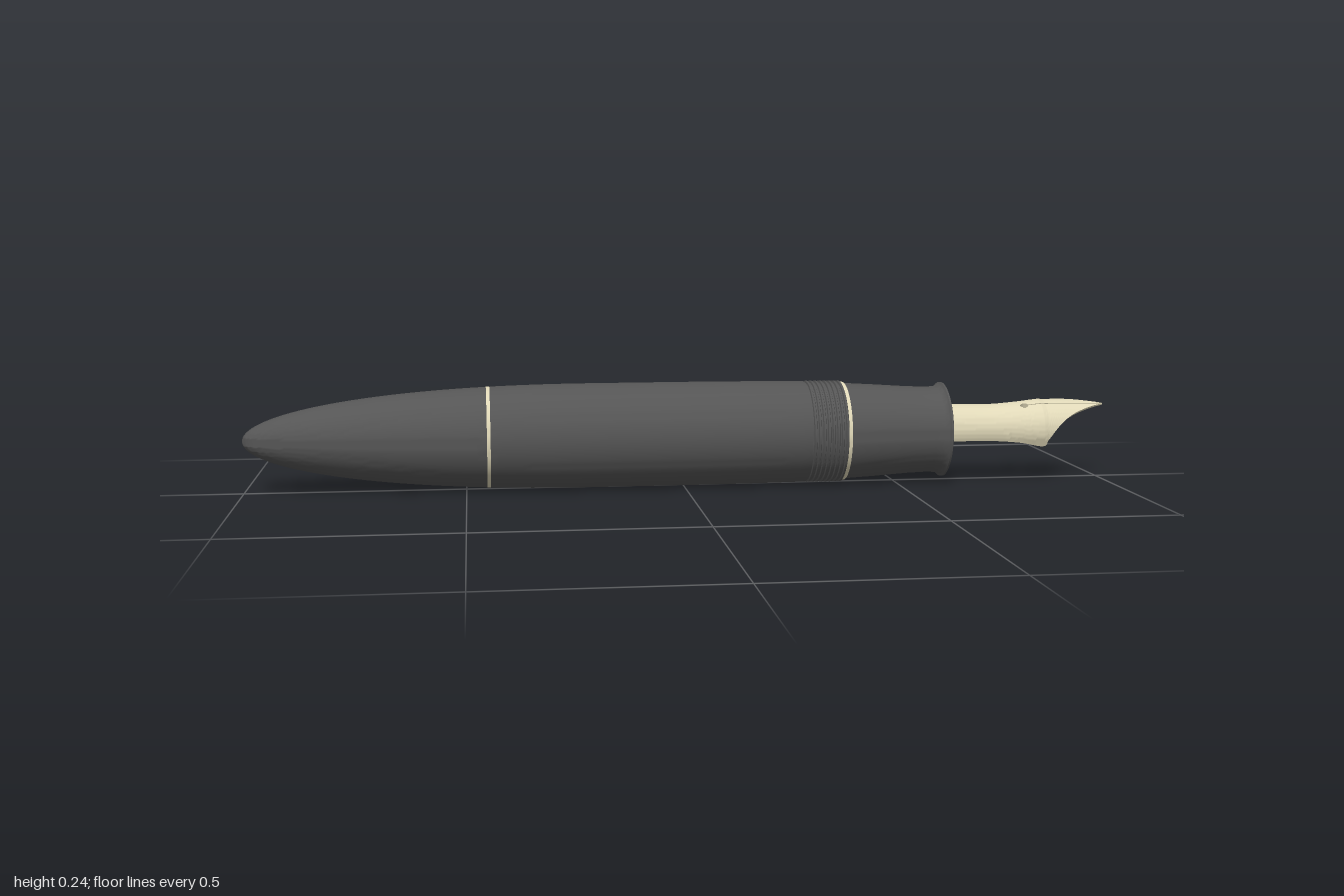
import * as THREE from 'three';
import { toCreasedNormals } from 'three/addons/utils/BufferGeometryUtils.js';

const AXIS_Y = 0.121;
const TILT = THREE.MathUtils.degToRad(26);

// Turned part along x from [x, radius] pairs
function turned(name, profile, material) {
  const points = profile.map(([x, r]) => new THREE.Vector2(r, x));
  const lathe = new THREE.LatheGeometry(points, 72);
  lathe.rotateZ(-Math.PI / 2);
  const mesh = new THREE.Mesh(toCreasedNormals(lathe, 0.5), material);
  mesh.name = name;
  return mesh;
}

// Rounded barrel radius, tapering slightly towards the grip
function barrelRadius(x) {
  if (x < -0.2) return 0.12 * Math.sqrt(Math.max(0, 1 - Math.pow((-0.2 - x) / 0.8, 2.2)));
  return 0.12 - 0.0025 * Math.pow(Math.max(0, x) / 0.285, 2);
}

function barrelProfile(from, to, steps, ease) {
  return Array.from({ length: steps + 1 }, (_, i) => {
    const x = from + (to - from) * Math.pow(i / steps, ease);
    return [x, barrelRadius(x)];
  });
}

// One half of the nib: a curved shell whose radius and sweep change along x
function nibHalf(side) {
  // x, radius, half sweep in radians
  const stations = [
    [0.6, 0.061, 1.5], [0.66, 0.058, 1.52], [0.73, 0.057, 1.55], [0.79, 0.061, 1.6],
    [0.845, 0.067, 1.72], [0.86, 0.067, 1.45], [0.875, 0.067, 1.12], [0.895, 0.067, 0.8],
    [0.92, 0.0665, 0.53], [0.95, 0.066, 0.3], [0.98, 0.066, 0.12], [1, 0.066, 0.02],
  ];
  const curve = new THREE.CatmullRomCurve3(stations.map((s) => new THREE.Vector3(...s)), false, 'centripetal');
  const rows = 200, arc = 18, ring = 2 * (arc + 1);
  const position = [], index = [];
  for (let i = 0; i <= rows; i++) {
    const { x, y: r, z: sweep } = curve.getPoint(i / rows);
    // Gap at the centre line: breather hole, then slit
    const hole = Math.sqrt(Math.max(0, 0.009 ** 2 - (x - 0.81) ** 2));
    const gap = Math.min(sweep, Math.max(hole, x > 0.81 ? 0.0012 : 0) / r);
    const thickness = x > 0.9 ? 0.009 - 0.05 * (x - 0.9) : 0.009;
    for (let j = 0; j < ring; j++) {
      const outer = j <= arc;
      const k = outer ? j / arc : (ring - 1 - j) / arc;
      const angle = gap + (sweep - gap) * k;
      const radius = outer ? r : r - thickness;
      position.push(x, radius * Math.cos(angle), side * radius * Math.sin(angle));
      if (i === rows) continue;
      const a = i * ring + j, b = i * ring + (j + 1) % ring;
      const c = a + ring, d = b + ring;
      if (side > 0) index.push(a, b, c, b, d, c);
      else index.push(a, c, b, b, c, d);
    }
  }
  const geometry = new THREE.BufferGeometry();
  geometry.setAttribute('position', new THREE.Float32BufferAttribute(position, 3));
  geometry.setIndex(index);
  return toCreasedNormals(geometry, 0.7);
}

export function createModel() {
  const resin = new THREE.MeshStandardMaterial({ color: 0x555555 });
  resin.name = 'dark resin';
  const gold = new THREE.MeshStandardMaterial({ color: 0xe0d8b8 });
  gold.name = 'pale gold';

  const pen = new THREE.Group();
  pen.name = 'fountainPen';
  pen.position.y = AXIS_Y;

  // Tail knob and barrel
  pen.add(turned('tailKnob', barrelProfile(-1, -0.449, 40, 2), resin));
  pen.add(turned('barrel', [...barrelProfile(-0.449, 0.285, 30, 1), [0.285, 0.11]], resin));

  // Screw threads
  const thread = [];
  const ridges = 8, pitch = 0.085 / ridges;
  for (let i = 0; i < ridges; i++) {
    const x = 0.285 + i * pitch;
    thread.push([x, 0.1145], [x + pitch * 0.3, 0.1145], [x + pitch * 0.45, 0.1185], [x + pitch * 0.85, 0.1185]);
  }
  thread.push([0.37, 0.1145], [0.37, 0.1]);
  pen.add(turned('threads', thread, resin));

  // Trim rings
  for (const [name, x, r] of [['tailRing', -0.449, 0.1158], ['gripRing', 0.374, 0.115]]) {
    pen.add(turned(name, [[x - 0.004, r - 0.01], [x - 0.004, r], [x + 0.004, r], [x + 0.004, r - 0.01]], gold));
  }

  // Grip section with flared lip and flat end
  pen.add(turned('gripSection', [
    [0.374, 0.1125], [0.45, 0.108], [0.53, 0.1025], [0.58, 0.1005], [0.6, 0.102],
    [0.608, 0.106], [0.612, 0.111], [0.616, 0.111], [0.617, 0.109], [0.617, 0],
  ], resin));

  // Nib, turned slightly about the pen's axis
  const nib = new THREE.Group();
  nib.name = 'nib';
  nib.rotation.x = TILT;
  for (const side of [1, -1]) {
    const half = new THREE.Mesh(nibHalf(side), gold);
    half.name = side > 0 ? 'nibFrontHalf' : 'nibBackHalf';
    nib.add(half);
  }
  pen.add(nib);

  const model = new THREE.Group();
  model.name = 'model';
  model.add(pen);
  return model;
}
